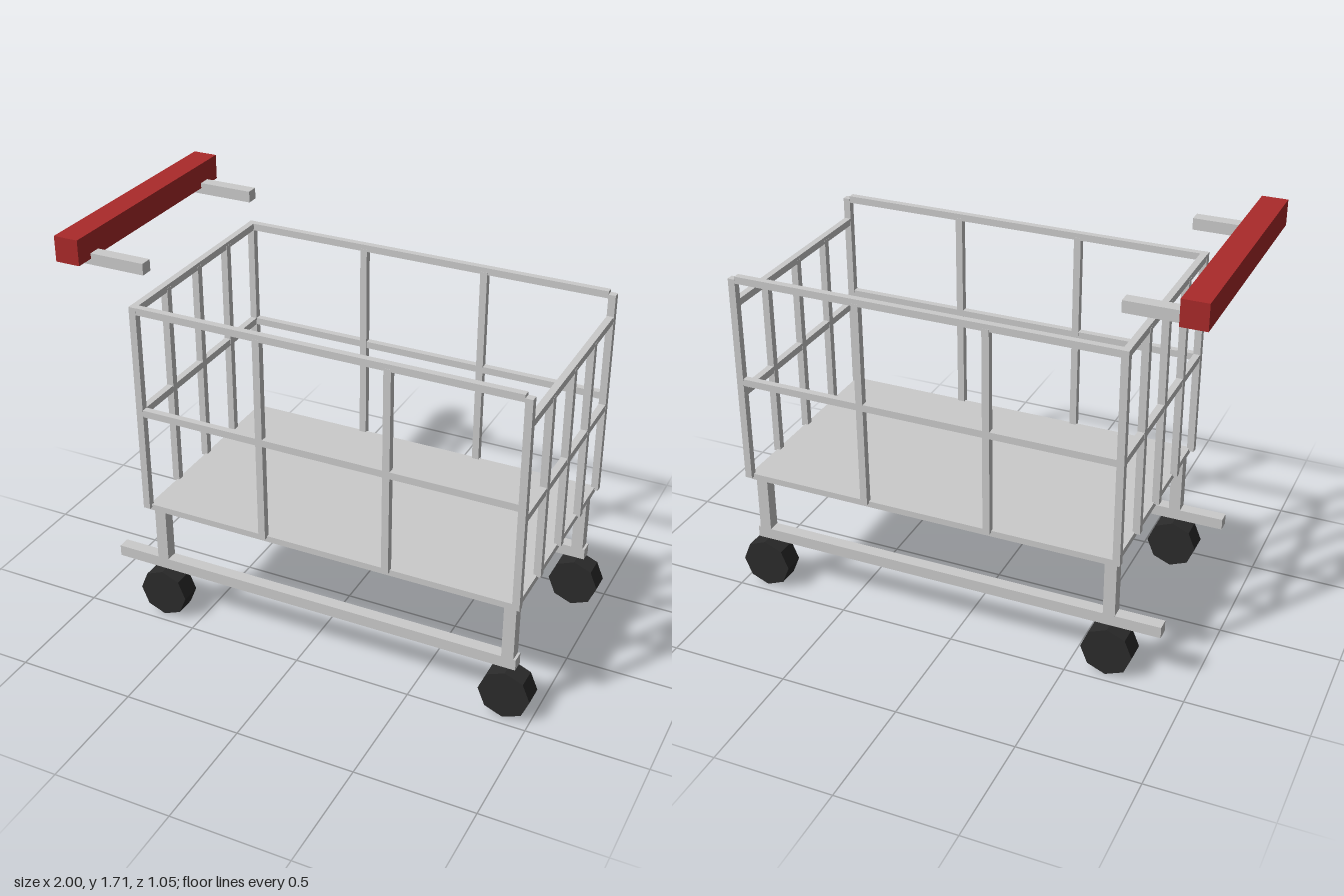
import * as THREE from 'three';

export function createModel() {
  const cart = new THREE.Group();
  cart.name = 'pushCart';
  const mat = (color) => new THREE.MeshStandardMaterial({ color, flatShading: true });
  const metal = mat(0xcccccc), red = mat(0xaa2a2a), rubber = mat(0x2b2b2b);

  // Box given by its extents on each axis
  function bar(name, [x0, x1], [y0, y1], [z0, z1], material = metal) {
    const mesh = new THREE.Mesh(new THREE.BoxGeometry(x1 - x0, y1 - y0, z1 - z0), material);
    mesh.position.set((x0 + x1) / 2, (y0 + y1) / 2, (z0 + z1) / 2);
    mesh.name = name;
    cart.add(mesh);
  }
  const T = 0.015; // half thickness of basket bars
  const around = (c, h = T) => [c - h, c + h];
  const backX = -0.695, frontX = 0.925, sideZ = 0.47;

  // Basket floor
  bar('floor', [-0.69, 0.925], [0.531, 0.558], [-0.468, 0.468]);

  for (const s of [-1, 1]) {
    const z = around(s * sideZ);

    // Long basket sides: corner posts, uprights and rails
    bar('backCornerPost', around(backX), [0.545, 1.46], z);
    bar('frontCornerPost', around(frontX), [0.545, 1.447], z);
    for (const x of [-0.155, 0.385]) bar('sideUpright', around(x), [0.55, 1.44], z);
    bar('sideTopRail', [backX, frontX - T], around(1.445), around(s * sideZ, 0.014));
    bar('sideMiddleRail', [backX, frontX], around(0.995), around(s * sideZ, 0.014));

    // Undercarriage: legs, runner and handle bracket
    const legZ = around(s * 0.417, 0.026);
    for (const x of [-0.66, 0.89]) {
      bar('leg', around(x, 0.025), [0.255, 0.535], legZ);

      // Eight-sided wheel with its axle along z
      const wheel = new THREE.Mesh(new THREE.CylinderGeometry(0.108, 0.108, 0.09, 8), rubber);
      wheel.rotation.x = Math.PI / 2;
      wheel.position.set(x, 0.11, s * 0.416);
      wheel.name = 'wheel';
      cart.add(wheel);
    }
    bar('runner', [-0.875, 0.925], [0.231, 0.28], legZ);
    bar('handleBracket', [-0.945, -0.66], [1.584, 1.632], legZ);
  }

  // Short basket ends; the front end is lower than the back
  const ends = [['back', backX, 1.445, 0.995], ['front', frontX, 1.34, 0.943]];
  for (const [name, x, top, middle] of ends) {
    for (const y of [top, middle]) bar(name + 'Rail', around(x, 0.014), around(y), [-0.457, 0.457]);
    for (const z of [-0.237, 0, 0.237]) bar(name + 'Upright', around(x), [0.55, top], around(z));
  }

  // Push handle
  bar('handle', [-1, -0.895], [1.609, 1.715], [-0.523, 0.523], red);
  return cart;
}
